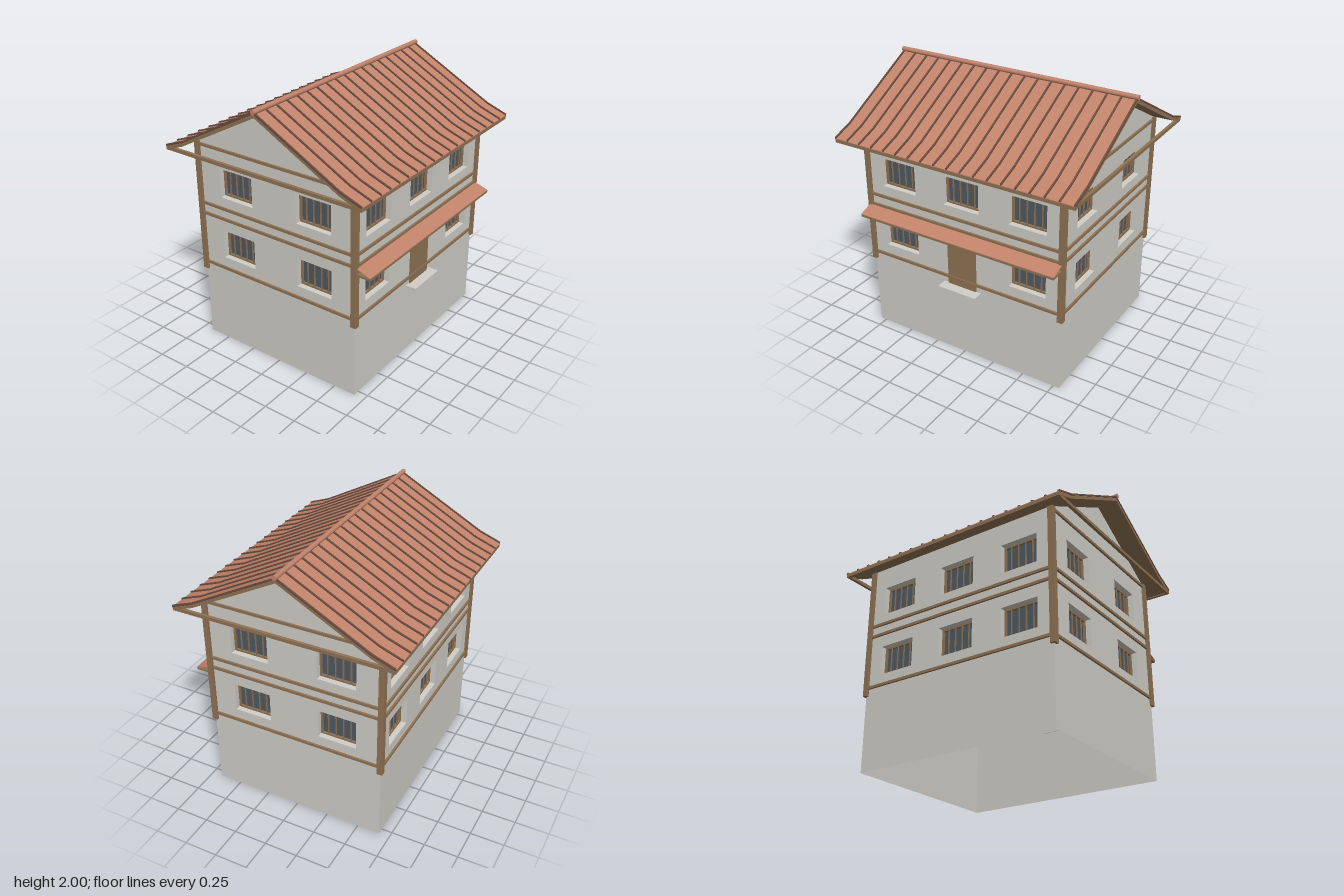
import * as THREE from 'three';

const mat = (name, color, side = THREE.FrontSide) => {
  const m = new THREE.MeshStandardMaterial({ color, side });
  m.name = name;
  return m;
};

export function createModel() {
  const plaster = mat('plaster', 0xcfcdc6, THREE.DoubleSide);
  const wood = mat('wood', 0x8f7253);
  const tile = mat('roof tile', 0xc2836b, THREE.DoubleSide);
  const ribColor = mat('dark rib', 0x6a4c3e);
  const glass = mat('glass', 0x4f5962, THREE.DoubleSide);

  const house = new THREE.Group();
  house.name = 'house';

  const add = (parent, name, geo, material, x = 0, y = 0, z = 0) => {
    const m = new THREE.Mesh(geo, material);
    m.name = name;
    m.position.set(x, y, z);
    parent.add(m);
    return m;
  };
  // Box given by its minimum and maximum on each axis
  const box = (parent, name, material, x0, x1, y0, y1, z0, z1) =>
    add(parent, name, new THREE.BoxGeometry(x1 - x0, y1 - y0, z1 - z0), material,
      (x0 + x1) / 2, (y0 + y1) / 2, (z0 + z1) / 2);
  // Outline in (z, y) extruded along x
  const prism = (points, width) => {
    const shape = new THREE.Shape(points.map(([z, y]) => new THREE.Vector2(z, y)));
    return new THREE.ExtrudeGeometry(shape, { depth: width, bevelEnabled: false })
      .translate(0, 0, -width / 2).rotateY(-Math.PI / 2);
  };

  const HX = 0.797, HZ = 0.67, WIN_W = 0.29, WIN_H = 0.22, DEPTH = 0.05;

  // Recessed window with reveal, pane, frame and upright bars
  const addWindow = (wall, x, y, d) => {
    const w = new THREE.Group();
    w.name = 'window';
    w.position.set(x, y, d);
    wall.add(w);
    const reveal = new THREE.CylinderGeometry(Math.SQRT1_2, Math.SQRT1_2, 1, 4, 1, true)
      .toNonIndexed().rotateY(Math.PI / 4).rotateX(Math.PI / 2).scale(WIN_W, WIN_H, DEPTH);
    reveal.computeVertexNormals();
    add(w, 'windowReveal', reveal, plaster, 0, 0, -DEPTH / 2);
    add(w, 'windowPane', new THREE.PlaneGeometry(WIN_W, WIN_H), glass, 0, 0, -DEPTH - 0.008);
    const hw = WIN_W / 2, hh = WIN_H / 2, t = 0.013, z0 = -DEPTH - 0.012, z1 = -DEPTH + 0.008;
    for (const s of [-1, 1]) {
      const cx = s * (hw - t / 2), cy = s * (hh - t / 2);
      box(w, 'frameSide', wood, cx - t / 2, cx + t / 2, -hh, hh, z0, z1);
      box(w, 'frameRail', wood, -hw, hw, cy - t / 2, cy + t / 2, z0, z1);
    }
    for (let i = 1; i < 5; i++) {
      const bx = -hw + (i * WIN_W) / 5;
      box(w, 'windowBar', wood, bx - 0.004, bx + 0.004, -hh, hh, -DEPTH, -DEPTH + 0.008);
    }
  };

  // One wall with its windows and timber beams
  const addWall = (name, angle, half, d, apex, windows, beams) => {
    const wall = new THREE.Group();
    wall.name = name;
    wall.rotation.y = angle;
    house.add(wall);
    const s = new THREE.Shape();
    s.moveTo(-half, 0);
    s.lineTo(half, 0);
    s.lineTo(half, 1.585);
    if (apex) s.lineTo(0, apex);
    s.lineTo(-half, 1.585);
    s.closePath();
    for (const [x, y] of windows) {
      const a = WIN_W / 2, b = WIN_H / 2;
      s.holes.push(new THREE.Path([[-a, -b], [-a, b], [a, b], [a, -b]]
        .map(([p, q]) => new THREE.Vector2(x + p, y + q))));
      addWindow(wall, x, y, d);
    }
    add(wall, 'wallFace', new THREE.ShapeGeometry(s), plaster, 0, 0, d);
    for (const y of beams)
      box(wall, 'wallBeam', wood, -half, half, y - 0.01, y + 0.01, d - 0.012, d + 0.014);
  };

  const low = 0.82, high = 1.305;
  const sideWindows = [-0.335, 0.335].flatMap(x => [[x, low], [x, high]]);
  const backWindows = [-0.53, 0, 0.53].flatMap(x => [[x, low], [x, high]]);
  const frontWindows = backWindows.filter(([x, y]) => x !== 0 || y !== low);
  const beams = [0.625, 1.03, 1.112];
  addWall('frontWall', 0, HX, HZ, 0, frontWindows, beams);
  addWall('backWall', Math.PI, HX, HZ, 0, backWindows, beams);
  addWall('leftWall', Math.PI / 2, HZ, HX, 1.945, sideWindows, [...beams, 1.565]);
  addWall('rightWall', -Math.PI / 2, HZ, HX, 1.945, sideWindows, [...beams, 1.565]);

  // Corner posts
  for (const sx of [-1, 1]) for (const sz of [-1, 1])
    add(house, 'cornerPost', new THREE.BoxGeometry(0.04, 1.02, 0.042), wood,
      sx * 0.795, 1.075, sz * 0.667);

  // Door and step
  box(house, 'door', wood, -0.12, 0.117, 0.565, 0.935, 0.655, 0.678);
  box(house, 'doorStep', plaster, -0.16, 0.155, 0.54, 0.566, 0.665, 0.752);

  // Porch awning: wooden plank with a sloping tiled sheet
  box(house, 'awningPlank', wood, -0.8, 0.8, 0.964, 0.979, 0.67, 0.79);
  add(house, 'awningTiles', prism([[0.672, 1.02], [0.79, 0.979], [0.79, 0.985], [0.672, 1.026]], 1.6), tile);

  // Roof with flared eaves: wooden deck, tile skin, ribs
  const slope = [[0, 1.972], [0.66, 1.617], [0.82, 1.558]];
  const band = (from, to) => {
    const line = dy => [...slope.slice(1).reverse().map(([z, y]) => [-z, y + dy]),
      ...slope.map(([z, y]) => [z, y + dy])];
    return [...line(from), ...line(to).reverse()];
  };
  add(house, 'roofDeck', prism(band(-0.03, -0.006), 1.9), wood);
  add(house, 'roofTiles', prism(band(-0.006, 0), 1.9), tile);
  const ribGeo = prism(band(-0.004, 0.01), 0.012);
  for (let i = 0; i < 19; i++)
    add(house, 'roofRib', ribGeo, ribColor, -0.948 + (i * 1.896) / 18);
  add(house, 'ridgeCap',
    new THREE.CylinderGeometry(0.018, 0.018, 1.925, 12).rotateZ(Math.PI / 2), tile, 0, 1.982, 0);

  // Eave boards and gable tie beams
  for (const s of [-1, 1]) {
    add(house, 'eaveBoard', new THREE.BoxGeometry(1.9, 0.025, 0.022), wood, 0, 1.54, s * 0.808);
    add(house, 'gableTie', new THREE.BoxGeometry(0.022, 0.025, 1.62), wood, s * 0.937, 1.539, 0);
  }
  return house;
}
